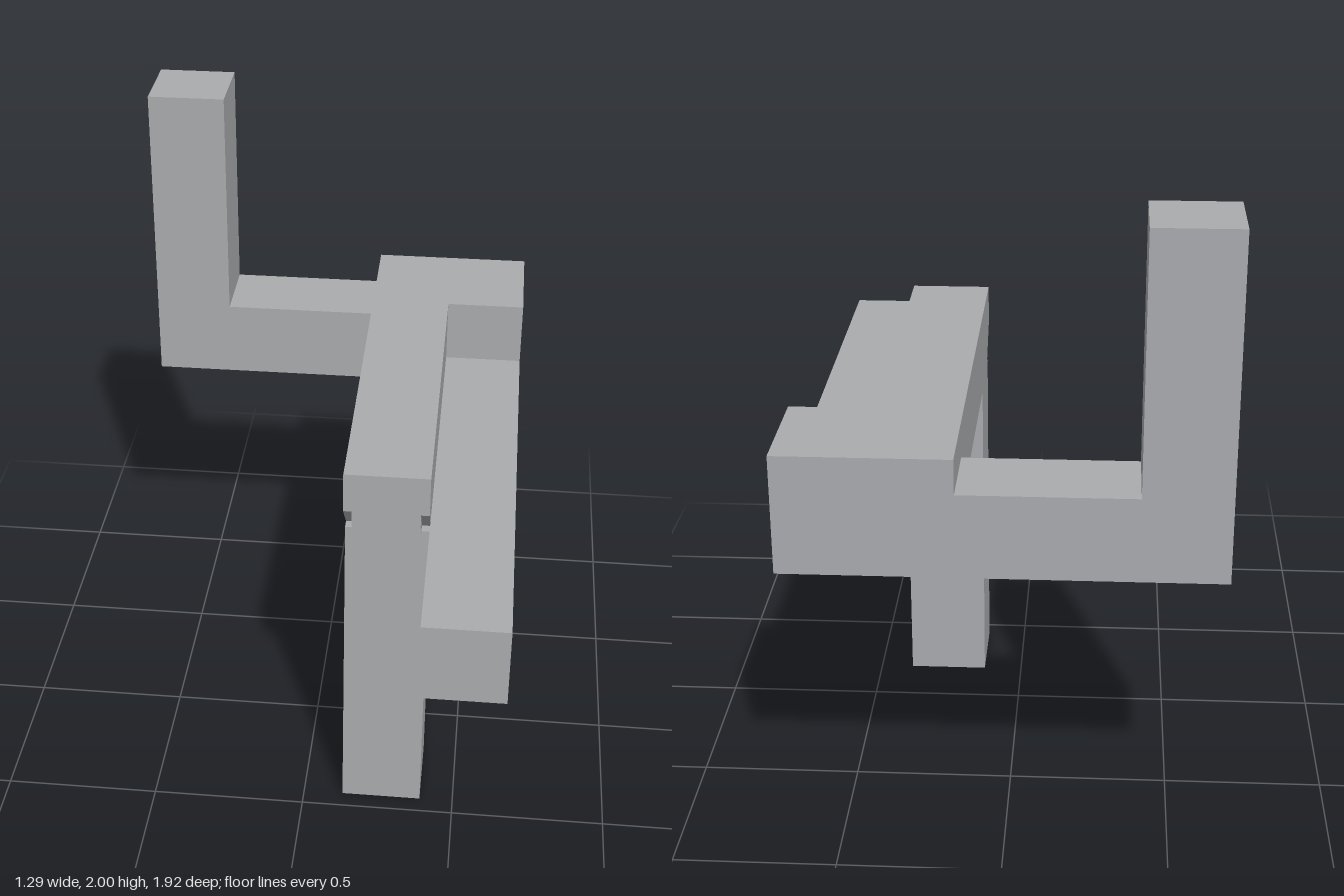
import * as THREE from 'three';

export function createModel() {
  const group = new THREE.Group();
  const grey = new THREE.MeshStandardMaterial({ color: 0xa9abae });
  grey.name = 'plain grey';

  const extrude = (points, depth) => new THREE.ExtrudeGeometry(
    new THREE.Shape(points.map(([a, b]) => new THREE.Vector2(a, b))),
    { depth, bevelEnabled: false });

  function add(name, geometry) {
    const mesh = new THREE.Mesh(geometry, grey);
    mesh.name = name;
    group.add(mesh);
  }

  // Side profile given as [z, y], spanning x0 to x1
  function addSlab(name, profile, x0, x1) {
    const geometry = extrude(profile.map(([z, y]) => [-z, y]), x1 - x0);
    geometry.rotateY(Math.PI / 2).translate(x0, 0, 0);
    add(name, geometry);
  }

  // Beam with a stepped core between two thin cheeks that are cut back at the joint
  function addBeam(name, outline, steps, notch, x0, x1) {
    const t = 0.026;
    addSlab(name + 'Core', [...outline, ...steps], x0 + t, x1 - t);
    addSlab(name + 'InnerCheek', [...outline, ...notch], x0, x0 + t);
    addSlab(name + 'OuterCheek', [...outline, ...notch], x1 - t, x1);
  }

  // Descending or climbing stairs: each step moves in y, then in z
  function stairs(z, y, dz, dy, count) {
    const points = [[z, y]];
    for (let i = 0; i < count; i++) {
      points.push([z + i * dz, y + (i + 1) * dy]);
      points.push([z + (i + 1) * dz, y + (i + 1) * dy]);
    }
    return points;
  }

  // Lower beam with its raised rear corner
  addBeam('lowerBeam',
    [[-0.645, 0.865], [0.96, 0.865], [0.96, 1.12], [-0.6, 1.12], [-0.6, 1.33], [-0.96, 1.33], [-0.96, 0.965]]
      .slice(1),
    [...stairs(-0.727, 0.965, 0.026, -0.025, 3), [-0.649, 0.865]],
    [[-0.727, 0.965], [-0.727, 0.992], [-0.62, 0.89], [-0.62, 0.865]],
    0.39, 0.647);

  // Upper beam, carried by the front post and meeting the crossbar behind
  addBeam('upperBeam',
    [[0.52, 1.33], [-0.96, 1.33], [-0.96, 0.965], [-0.703, 0.965], [-0.703, 1.07], [0.184, 1.07], [0.184, 0], [0.442, 0]],
    [[0.442, 1.095], [0.468, 1.095], [0.468, 1.121], [0.494, 1.121], [0.494, 1.148], [0.52, 1.148]],
    [[0.442, 1.09], [0.41, 1.09], [0.52, 1.2]],
    0.13, 0.39);

  // Rear crossbar turning up into the tall upright
  const rear = extrude([[-0.647, 0.965], [0.13, 0.965], [0.13, 1.223], [-0.39, 1.223], [-0.39, 2], [-0.647, 2]], 0.257);
  rear.translate(0, 0, -0.96);
  add('rearCrossbarAndUpright', rear);

  return group;
}
